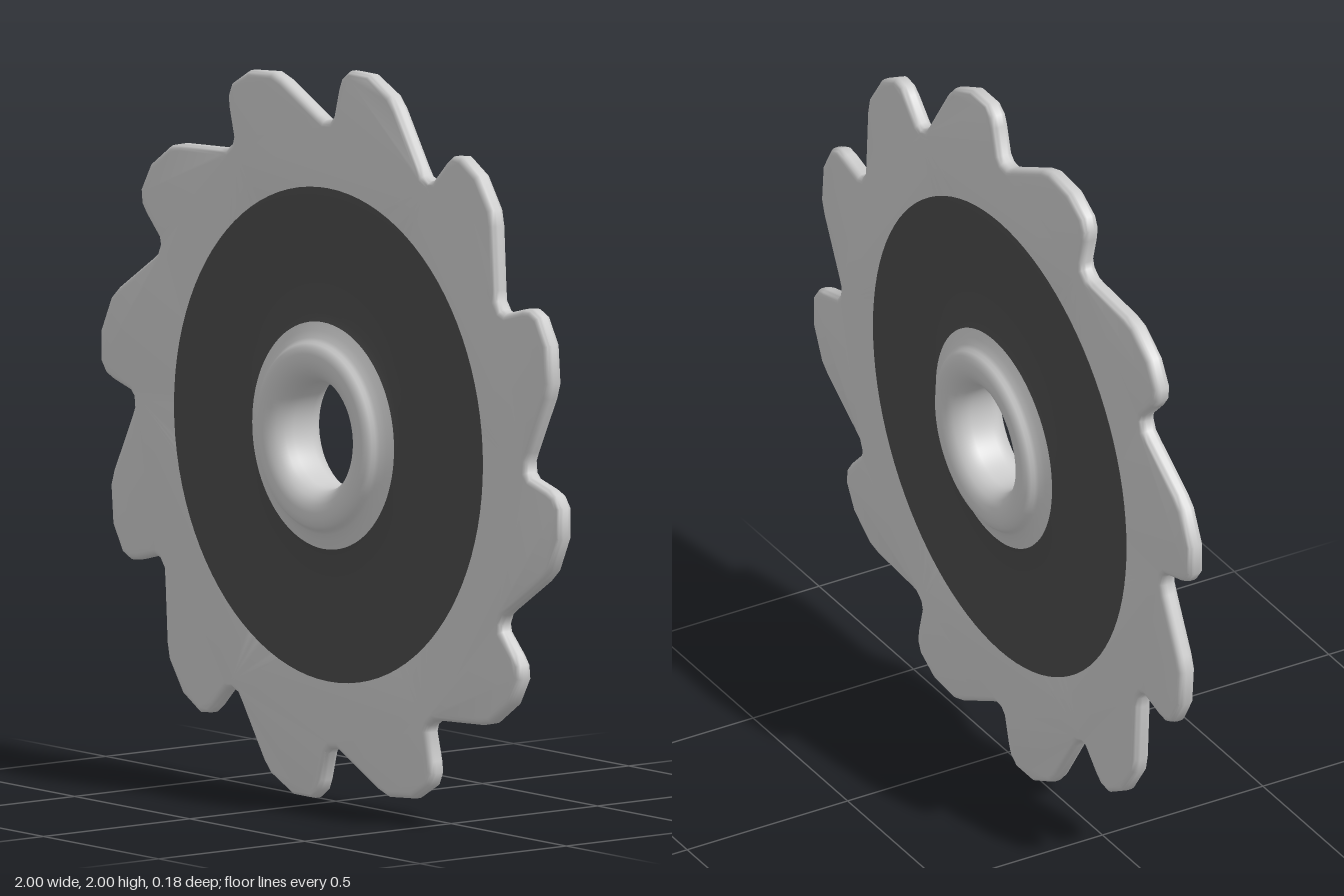
import * as THREE from 'three';
import { toCreasedNormals } from 'three/addons/utils/BufferGeometryUtils.js';

const TEETH = 12;
const grey = new THREE.MeshStandardMaterial({ color: 0xcccccc });
const dark = new THREE.MeshStandardMaterial({ color: 0x4a4a4a });

// Turns [radius, z] points around the z axis
function lathe(name, points, material) {
  const geometry = new THREE.LatheGeometry(points.map(([r, z]) => new THREE.Vector2(r, z)), 96);
  geometry.rotateX(Math.PI / 2);
  const mesh = new THREE.Mesh(geometry, material);
  mesh.name = name;
  return mesh;
}

// Toothed blade: one hooked tooth repeated around the rim, with rounded edges
function makeBlade() {
  const tooth = [
    [-0.028, 0.852], [0.0, 0.855], [0.014, 0.868], [0.035, 0.945], [0.048, 0.975],
    [0.08, 0.998], [0.165, 0.998], [0.26, 0.953], [0.29, 0.92], [0.385, 0.775],
  ];
  const outline = [];
  for (let i = 0; i < TEETH; i++) {
    for (const [x, y] of tooth) {
      outline.push(new THREE.Vector2(x, y).rotateAround(new THREE.Vector2(), -i * 2 * Math.PI / TEETH));
    }
  }
  const shape = new THREE.Shape(outline);
  const hole = new THREE.Path();
  hole.absarc(0, 0, 0.5, 0, Math.PI * 2);
  shape.holes.push(hole);
  const bevel = 0.018;
  const geometry = new THREE.ExtrudeGeometry(shape, {
    depth: 0.014, bevelThickness: bevel, bevelSize: bevel, bevelOffset: -bevel,
    bevelSegments: 4, curveSegments: 48,
  });
  geometry.translate(0, 0, -0.007);
  const mesh = new THREE.Mesh(toCreasedNormals(geometry, 0.8), grey);
  mesh.name = 'toothedBlade';
  return mesh;
}

export function createModel() {
  const model = new THREE.Group();
  model.name = 'sawBlade';
  model.add(makeBlade());

  // Dark disc on both faces, rising gently towards the hub
  const face = [[0.67, 0.02], [0.67, 0.0265], [0.56, 0.027], [0.48, 0.028], [0.42, 0.03], [0.37, 0.033], [0.33, 0.038], [0.308, 0.044]];
  const front = lathe('frontDisc', face, dark);
  const back = lathe('backDisc', face, dark);
  back.rotation.y = Math.PI;
  model.add(front, back);

  // Hub: flared foot, rounded collar and through bore
  const half = [
    [0.31, 0.043], [0.285, 0.051], [0.266, 0.06], [0.257, 0.067], [0.252, 0.076], [0.242, 0.085], [0.225, 0.09],
    [0.205, 0.09], [0.185, 0.085], [0.166, 0.073], [0.151, 0.053], [0.145, 0.03],
  ];
  const mirrored = half.map(([r, z]) => [r, -z]).reverse();
  model.add(lathe('hub', [...half, ...mirrored], grey));

  model.position.y = 1;
  const root = new THREE.Group();
  root.add(model);
  return root;
}
